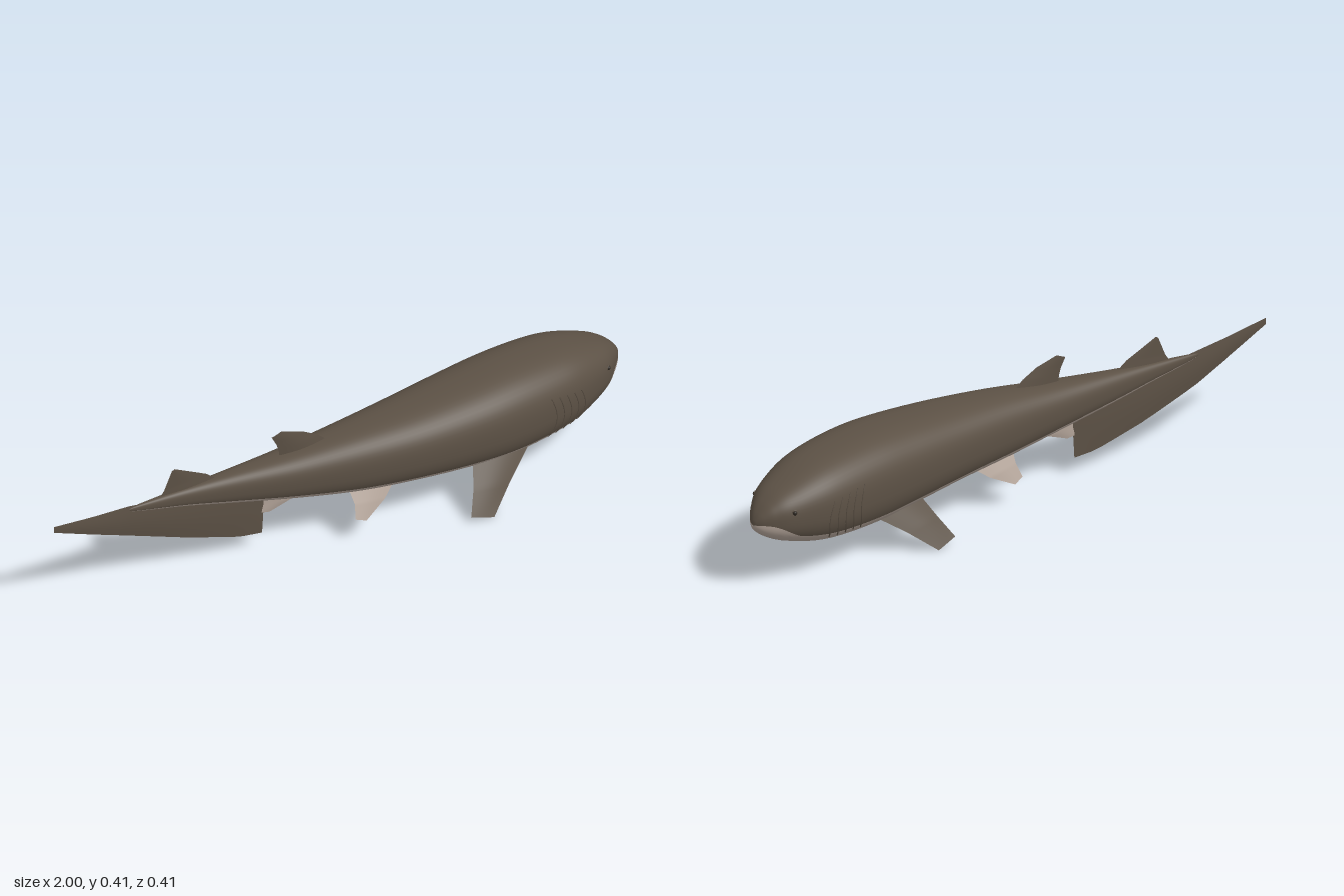
import * as THREE from 'three';

const mat = (name, color, side = THREE.FrontSide) => {
  const m = new THREE.MeshStandardMaterial({ color, side });
  m.name = name;
  return m;
};

// Body stations from tail to nose: x, top y, bottom y, right z, left z
const STATIONS = [
  [-0.735, 0.285, 0.283, -0.097, -0.095],
  [-0.7, 0.291, 0.27, -0.101, -0.087],
  [-0.55, 0.301, 0.241, -0.102, -0.058],
  [-0.4, 0.311, 0.21, -0.104, -0.02],
  [-0.2, 0.326, 0.174, -0.109, 0.038],
  [0, 0.346, 0.143, -0.119, 0.09],
  [0.2, 0.361, 0.124, -0.136, 0.128],
  [0.4, 0.374, 0.104, -0.156, 0.145],
  [0.55, 0.378, 0.093, -0.169, 0.141],
  [0.7, 0.367, 0.098, -0.176, 0.12],
  [0.8, 0.348, 0.113, -0.17, 0.092],
  [0.9, 0.312, 0.143, -0.146, 0.045],
  [0.95, 0.284, 0.166, -0.122, 0.004],
  [0.98, 0.257, 0.187, -0.099, -0.028],
  [0.995, 0.235, 0.205, -0.08, -0.051],
  [1, 0.219, 0.217, -0.066, -0.064],
];
const POWER = 0.8; // below 1 makes the section slightly boxy
const spline = (a, b) => new THREE.CatmullRomCurve3(
  STATIONS.map((s) => new THREE.Vector3(s[0], s[a], s[b])), false, 'catmullrom', 0.5);
const heights = spline(1, 2), widths = spline(3, 4);

function sectionAt(u) {
  const h = heights.getPoint(u), w = widths.getPoint(u);
  return { x: h.x, cy: (h.y + h.z) / 2, hy: Math.abs(h.y - h.z) / 2, cz: (w.y + w.z) / 2, hz: Math.abs(w.z - w.y) / 2 };
}
function sectionAtX(x) {
  let lo = 0, hi = 1;
  for (let i = 0; i < 30; i++) {
    const mid = (lo + hi) / 2;
    if (heights.getPoint(mid).x < x) lo = mid; else hi = mid;
  }
  return sectionAt(lo);
}
const spow = (v) => Math.sign(v) * Math.abs(v) ** POWER;

// Point on the flank at a given x and height; side is +1 left, -1 right
function flank(x, y, side) {
  const s = sectionAtX(x);
  const sin = Math.min(1, Math.abs((y - s.cy) / s.hy) ** (1 / POWER));
  return new THREE.Vector3(x, y, s.cz + side * s.hz * Math.sqrt(1 - sin * sin) ** POWER);
}

// One smooth skin, divided into back and belly along a line on the flank
function bodyGeometry() {
  const rings = 120, upper = 36, lower = 20, n = upper + lower;
  const pos = [], groups = [[], []];
  for (let i = 0; i <= rings; i++) {
    const s = sectionAt(i / rings);
    const nose = THREE.MathUtils.smoothstep(s.x, 0.86, 1);
    const level = -0.62 + 0.62 * nose;
    const t0 = Math.asin(Math.abs(level) ** (1 / POWER));
    for (let j = 0; j < n; j++) {
      const t = j < upper
        ? -t0 + (j / upper) * (Math.PI + 2 * t0)
        : Math.PI + t0 + ((j - upper) / lower) * (Math.PI - 2 * t0);
      pos.push(s.x, s.cy + s.hy * spow(Math.sin(t)), s.cz + s.hz * spow(Math.cos(t)));
    }
  }
  for (let i = 0; i < rings; i++) {
    for (let j = 0; j < n; j++) {
      const a = i * n + j, b = i * n + (j + 1) % n;
      groups[j < upper ? 0 : 1].push(a, a + n, b, b, a + n, b + n);
    }
  }
  const g = new THREE.BufferGeometry();
  g.setAttribute('position', new THREE.Float32BufferAttribute(pos, 3));
  g.setIndex([...groups[0], ...groups[1]]);
  g.addGroup(0, groups[0].length, 0);
  g.addGroup(groups[0].length, groups[1].length, 1);
  g.computeVertexNormals();
  return g;
}

// Piecewise linear position along a list of points
function along(points, t) {
  const f = t * (points.length - 1), i = Math.min(Math.floor(f), points.length - 2);
  return points[i].clone().lerp(points[i + 1], f - i);
}

// Lens-shaped fin lofted between a leading and a trailing edge, root to tip
function fin(name, lead, trail, thick, mats, { bend = false, taper = (t) => 1 - 0.9 * t } = {}) {
  const L = lead.map((p) => new THREE.Vector3(...p)), T = trail.map((p) => new THREE.Vector3(...p));
  const normal = T[0].clone().sub(L[0]).cross(L.at(-1).clone().sub(L[0])).normalize();
  const rows = 18, cols = 8, w = cols + 1;
  const group = new THREE.Group();
  group.name = name;
  [1, -1].forEach((side, k) => {
    const pos = [], idx = [];
    for (let i = 0; i <= rows; i++) {
      const a = along(L, i / rows), b = along(T, i / rows);
      for (let j = 0; j <= cols; j++) {
        const p = a.clone().lerp(b, j / cols);
        if (bend) p.z += sectionAtX(p.x).cz;
        p.addScaledVector(normal, side * thick / 2 * taper(i / rows) * Math.sin(Math.PI * j / cols));
        pos.push(p.x, p.y, p.z);
        if (i < rows && j < cols) {
          const q = i * w + j;
          if (side > 0) idx.push(q, q + 1, q + w, q + 1, q + w + 1, q + w);
          else idx.push(q, q + w, q + 1, q + 1, q + w, q + w + 1);
        }
      }
    }
    const g = new THREE.BufferGeometry();
    g.setAttribute('position', new THREE.Float32BufferAttribute(pos, 3));
    g.setIndex(idx);
    g.computeVertexNormals();
    const m = new THREE.Mesh(g, mats[k]);
    m.name = name + (k ? 'SideB' : 'SideA');
    group.add(m);
  });
  return group;
}

export function createModel() {
  const model = new THREE.Group();
  model.name = 'shark';
  const back = mat('back brown', 0x5c5145);
  const belly = mat('belly pale taupe', 0xb3a499);
  const eyeMat = mat('eye dark', 0x2e2822);
  const dark = [back, back], pale = [belly, belly];

  const body = new THREE.Mesh(bodyGeometry(), [back, belly]);
  body.name = 'body';
  model.add(body);

  // Fins on the midline follow the bend of the body
  model.add(
    fin('firstDorsalFin',
      [[-0.06, 0.325, 0], [-0.1, 0.36, 0], [-0.15, 0.388, 0], [-0.222, 0.41, 0]],
      [[-0.225, 0.3, 0], [-0.23, 0.34, 0], [-0.237, 0.365, 0], [-0.253, 0.397, 0]], 0.018, dark, { bend: true }),
    fin('secondDorsalFin',
      [[-0.43, 0.3, 0], [-0.47, 0.331, 0], [-0.575, 0.382, 0]],
      [[-0.63, 0.285, 0], [-0.61, 0.315, 0], [-0.584, 0.378, 0]], 0.014, dark, { bend: true }),
    fin('analFin',
      [[-0.14, 0.19, 0], [-0.19, 0.15, 0], [-0.26, 0.125, 0]],
      [[-0.28, 0.22, 0], [-0.28, 0.16, 0], [-0.29, 0.13, 0]], 0.012, pale, { bend: true }),
    fin('tailFin',
      [[-0.275, 0.23, 0], [-0.36, 0.245, 0], [-0.53, 0.265, 0], [-0.72, 0.296, 0], [-0.86, 0.308, 0], [-1, 0.325, 0]],
      [[-0.285, 0.055, 0], [-0.36, 0.062, 0], [-0.53, 0.113, 0], [-0.72, 0.184, 0], [-0.86, 0.243, 0], [-1, 0.304, 0]],
      0.01, dark, { bend: true, taper: (t) => Math.sin(Math.PI * t) }),
  );

  for (const side of [1, -1]) {
    const label = side > 0 ? 'left' : 'right';
    // Pectoral fins: dark above, pale below
    model.add(fin(label + 'PectoralFin',
      [[0.6, 0.16, side * 0.095], [0.47, 0.07, side * 0.16], [0.385, 0.002, side * 0.206]],
      [[0.38, 0.16, side * 0.095], [0.345, 0.085, side * 0.152], [0.31, 0.022, side * 0.194]],
      0.02, side > 0 ? [back, belly] : [belly, back]));
    // Pelvic fins
    const z = (d) => -0.007 + side * d;
    model.add(fin(label + 'PelvicFin',
      [[0.14, 0.155, z(0.05)], [0.08, 0.11, z(0.078)], [0, 0.072, z(0.1)]],
      [[-0.03, 0.165, z(0.05)], [-0.025, 0.125, z(0.074)], [-0.035, 0.085, z(0.093)]], 0.014, pale));

    // Five curved gill slits
    for (let i = 0; i < 5; i++) {
      const pts = [];
      for (let k = 0; k <= 8; k++) {
        const t = k / 8;
        pts.push(flank(0.645 + i * 0.03 + 0.018 * Math.sin(Math.PI * t), 0.138 + t * (0.15 - i * 0.006), side));
      }
      const slit = new THREE.Mesh(new THREE.TubeGeometry(new THREE.CatmullRomCurve3(pts), 20, 0.0022, 6), back);
      slit.name = label + 'GillSlit' + (i + 1);
      model.add(slit);
    }

    // Eye set in a low rim
    const spot = flank(0.9, 0.256, side);
    const eye = new THREE.Mesh(new THREE.SphereGeometry(0.007, 16, 12), eyeMat);
    eye.name = label + 'Eye';
    eye.position.copy(spot);
    const rim = new THREE.Mesh(new THREE.TorusGeometry(0.0075, 0.0018, 8, 20), back);
    rim.name = label + 'EyeRim';
    rim.position.copy(spot);
    rim.rotation.y = side > 0 ? 0.5 : -0.5;
    model.add(eye, rim);
  }
  return model;
}
